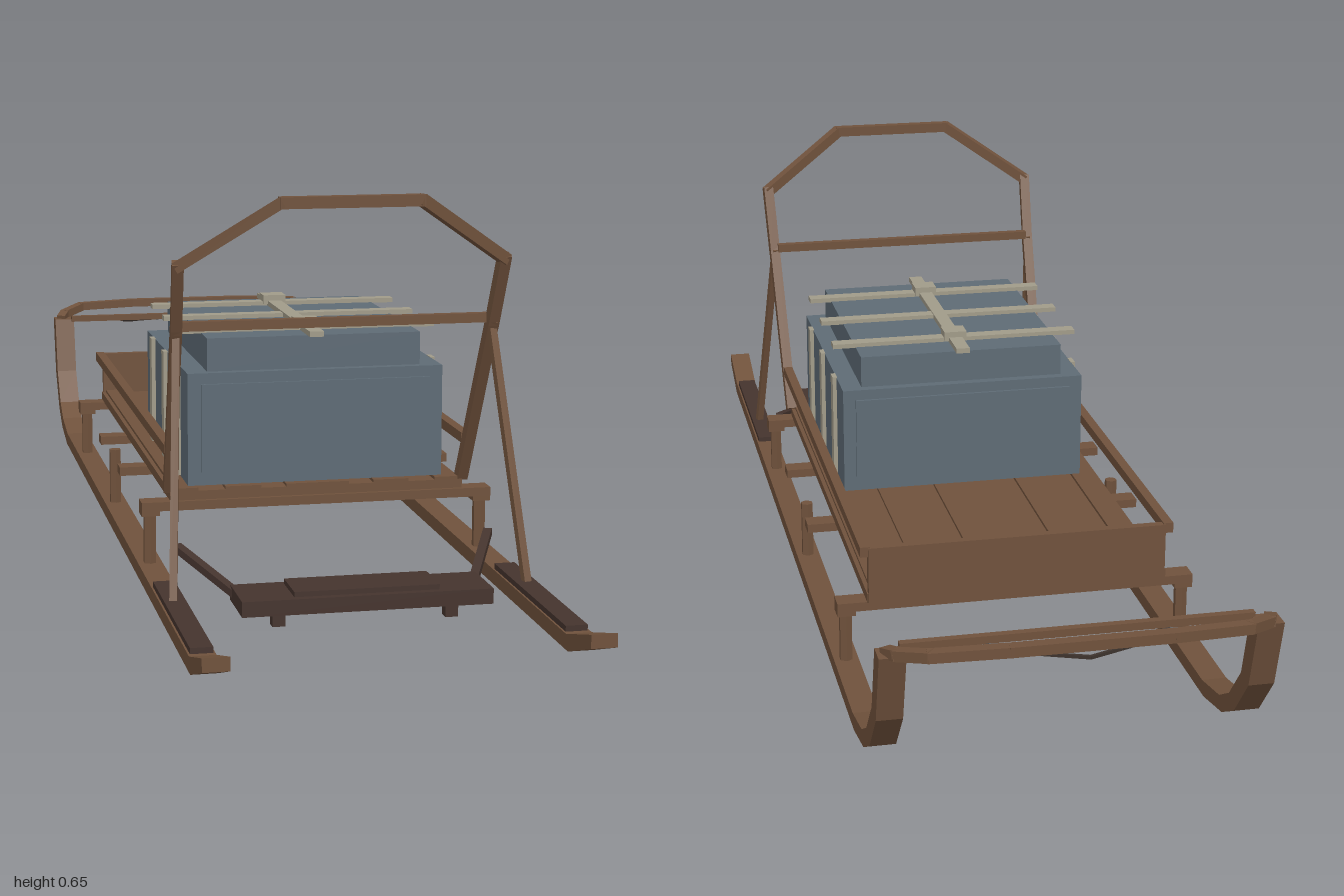
import * as THREE from 'three';

const mat = (name, color) => {
  const m = new THREE.MeshStandardMaterial({ color, flatShading: true });
  m.name = name;
  return m;
};

export function createModel() {
  const sled = new THREE.Group();
  sled.name = 'sled';
  const wood = mat('brown wood', 0x70523c);
  const dark = mat('dark tread', 0x45342e);
  const slate = mat('slate canvas', 0x5e6b75);
  const cream = mat('cream strap', 0xa19b89);
  const cord = mat('dark cord', 0x3d332d);

  const add = (name, geo, m) => {
    const mesh = new THREE.Mesh(geo, m);
    mesh.name = name;
    sled.add(mesh);
    return mesh;
  };
  // Box given by its minimum and maximum on each axis
  const box = (name, m, x0, x1, y0, y1, z0, z1) => {
    add(name, new THREE.BoxGeometry(x1 - x0, y1 - y0, z1 - z0), m)
      .position.set((x0 + x1) / 2, (y0 + y1) / 2, (z0 + z1) / 2);
  };
  // Square bars following a list of points
  const bars = (name, m, pts, w, h = w) => {
    for (let i = 0; i < pts.length - 1; i++) {
      const a = new THREE.Vector3(...pts[i]);
      const b = new THREE.Vector3(...pts[i + 1]);
      const bar = add(name, new THREE.BoxGeometry(w, h, a.distanceTo(b) + Math.min(w, h) * 0.4), m);
      bar.position.copy(a).add(b).multiplyScalar(0.5);
      bar.lookAt(b);
    }
  };

  // Runner profile as [z, y]: underside, then back along the top
  const profile = [
    [1, 0.034], [0.9, 0], [-0.7, 0], [-0.79, 0.018], [-0.845, 0.048], [-0.905, 0.12], [-0.937, 0.233],
    [-0.9, 0.233], [-0.87, 0.125], [-0.82, 0.066], [-0.775, 0.04], [-0.69, 0.024], [0.89, 0.024], [1, 0.055],
  ];
  const shape = new THREE.Shape(profile.map(([z, y]) => new THREE.Vector2(-z, y)));

  for (const s of [-1, 1]) {
    const runner = new THREE.ExtrudeGeometry(shape, { depth: 0.04, bevelEnabled: false });
    runner.rotateY(Math.PI / 2).translate(s * 0.28 - 0.02, 0, 0);
    add('runner', runner, wood);
    box('footPad', dark, s * 0.28 - 0.017, s * 0.28 + 0.017, 0.024, 0.033, 0.52, 0.88);

    // Posts between runner and deck
    for (const [z, top] of [[0.37, 0.115], [-0.065, 0.122], [-0.5, 0.115]]) {
      add('post', new THREE.CylinderGeometry(0.011, 0.011, top - 0.02, 6), wood)
        .position.set(s * 0.28, (top + 0.02) / 2, z);
    }
    for (const z of [0.37, -0.5]) {
      box('postCap', wood, s * 0.28 - 0.015, s * 0.28 + 0.015, 0.105, 0.128, z - 0.016, z + 0.016);
    }
    // Side rails
    box('sideRail', wood, s * 0.25 - 0.008, s * 0.25 + 0.008, 0.207, 0.224, -0.52, 0.39);
    // Handle legs and struts
    bars('handleLeg', wood, [[s * 0.248, 0.148, 0.372], [s * 0.256, 0.43, 0.51], [s * 0.26, 0.54, 0.557]], 0.018);
    bars('handleStrut', wood, [[s * 0.255, 0.43, 0.505], [s * 0.282, 0.03, 0.632]], 0.012);
    // Brake arms and claws
    bars('brakeArm', dark, [[s * 0.19, 0.045, 0.65], [s * 0.255, 0.082, 0.505]], 0.014, 0.012);
    box('brakeClaw', dark, s * 0.135 - 0.01, s * 0.135 + 0.01, 0.008, 0.032, 0.7, 0.72);
    // Cord ring
    const ring = add('cordRing', new THREE.TorusGeometry(0.02, 0.003, 4, 8), cord);
    ring.position.set(s * 0.135, 0.226, -0.92);
    ring.rotation.x = Math.PI / 2;
    ring.scale.y = 0.6;
  }

  // Upper handle
  bars('handleBow', wood, [[-0.26, 0.537, 0.557], [-0.11, 0.638, 0.615], [0.11, 0.638, 0.615], [0.26, 0.537, 0.557]], 0.018);
  box('handleCrossbar', wood, -0.25, 0.25, 0.428, 0.443, 0.494, 0.508);

  // Brush bow with its bar and cord
  bars('brushBow', wood, [
    [-0.285, 0.233, -0.915], [-0.275, 0.24, -0.94], [-0.235, 0.25, -0.975], [-0.12, 0.253, -0.986],
    [0.12, 0.253, -0.986], [0.235, 0.25, -0.975], [0.275, 0.24, -0.94], [0.285, 0.233, -0.915],
  ], 0.018, 0.016);
  box('brushBowBar', wood, -0.265, 0.265, 0.228, 0.24, -0.908, -0.896);
  bars('towCord', cord, [[-0.125, 0.224, -0.925], [0, 0.222, -0.968], [0.125, 0.224, -0.925]], 0.005);

  // Cross beams and deck
  for (const z of [0.37, 0.1, -0.165, -0.5]) {
    box('crossBeam', wood, -0.295, 0.295, 0.113, 0.128, z - 0.017, z + 0.017);
  }
  box('deck', wood, -0.247, 0.247, 0.127, 0.143, -0.52, 0.38);
  for (const [a, b] of [[-0.24, -0.2], [-0.155, -0.095], [-0.053, 0.053], [0.095, 0.155], [0.2, 0.24]]) {
    box('deckSlat', wood, a, b, 0.142, 0.148, -0.51, 0.38);
  }
  box('endBoard', wood, -0.245, 0.245, 0.128, 0.222, -0.522, -0.508);

  // Brake board
  box('brakeBoard', dark, -0.195, 0.195, 0.031, 0.055, 0.64, 0.74);
  box('brakePad', dark, -0.113, 0.113, 0.055, 0.063, 0.65, 0.728);

  // Cargo chest
  box('chest', slate, -0.215, 0.215, 0.148, 0.335, -0.088, 0.365);
  box('chestLid', slate, -0.18, 0.18, 0.335, 0.39, -0.072, 0.35);
  box('chestPanel', slate, -0.193, 0.193, 0.17, 0.317, 0.365, 0.37);
  box('chestPanel', slate, -0.193, 0.193, 0.17, 0.317, -0.093, -0.088);

  // Straps and buckles
  for (const z of [0.28, 0.138, -0.002]) {
    box('crossStrap', cream, -0.22, 0.22, 0.389, 0.397, z - 0.012, z + 0.012);
    for (const s of [-1, 1]) {
      box('sideStrap', cream, s * 0.218 - 0.004, s * 0.218 + 0.004, 0.15, 0.336, z - 0.012, z + 0.012);
    }
  }
  box('longStrap', cream, -0.012, 0.012, 0.39, 0.399, -0.085, 0.37);
  for (const z of [0.28, -0.002]) {
    box('buckle', cream, -0.02, 0.02, 0.393, 0.409, z - 0.018, z + 0.018);
  }
  return sled;
}
